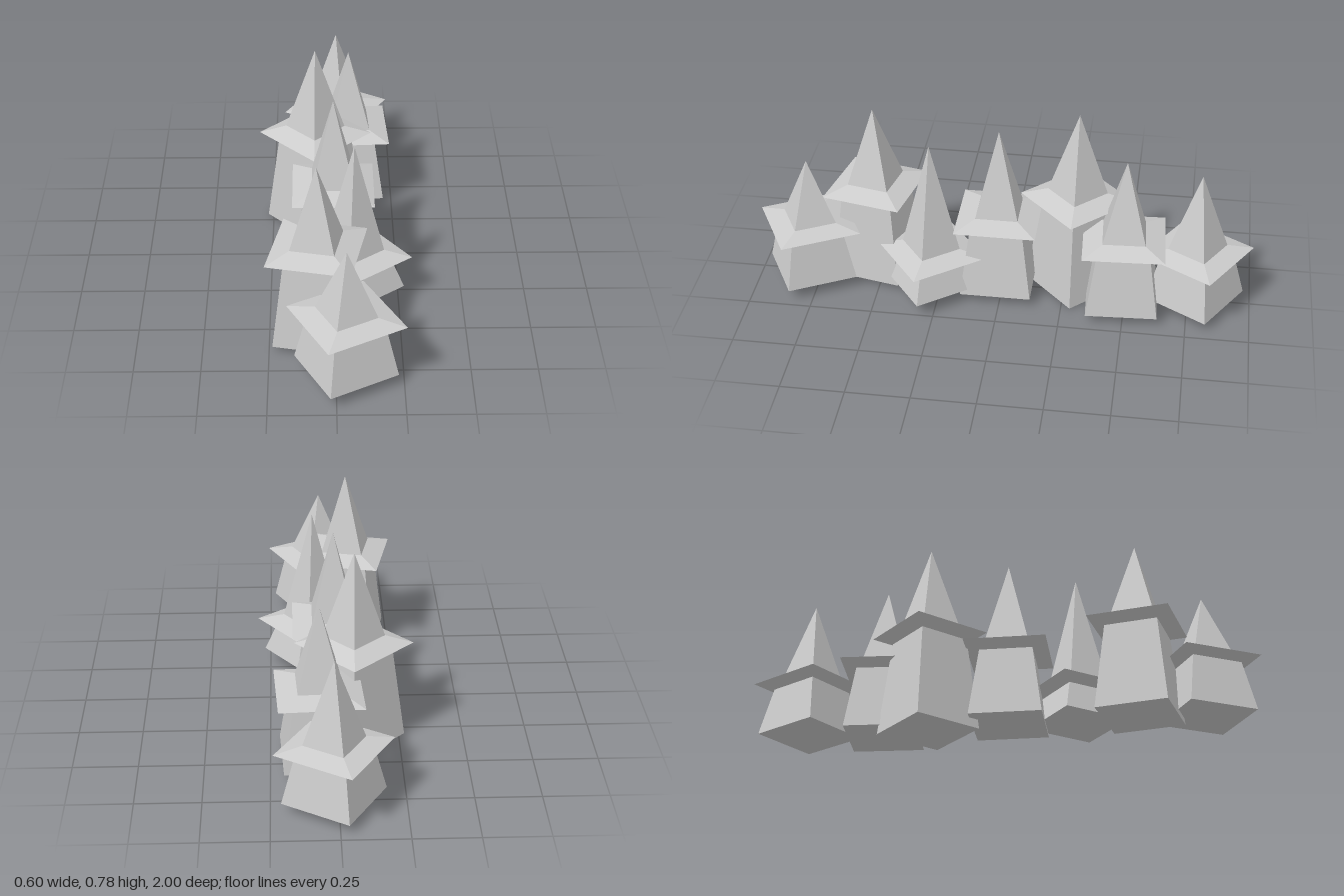
import * as THREE from 'three';

// x, z, base height, collar height, tip height, angle of one corner from +x towards +z (degrees)
const SPIRES = [
  [0.037, 0.78, 0.05, 0.272, 0.555, 17],
  [-0.07, 0.527, 0.023, 0.4, 0.748, -33],
  [0.0735, 0.28, 0.06, 0.2, 0.685, 8],
  [-0.003, 0.016, 0.037, 0.342, 0.727, 45],
  [-0.0725, -0.29, 0, 0.405, 0.783, 1.3],
  [0.065, -0.488, 0.037, 0.318, 0.67, 42],
  [0.017, -0.777, 0.04, 0.25, 0.602, -14],
];

// Corner radii shared by every spire
const BASE = 0.2, NECK = 0.148, RIM = 0.228, ROOF = 0.119;

const material = new THREE.MeshStandardMaterial({ color: 0xcccccc, flatShading: true });

// Four-sided solid of revolution from [radius, y] points, bottom to top
function foursided(name, profile) {
  const points = profile.map(([r, y]) => new THREE.Vector2(r, y));
  const mesh = new THREE.Mesh(new THREE.LatheGeometry(points, 4), material);
  mesh.name = name;
  return mesh;
}

function createSpire([x, z, base, collar, tip, degrees]) {
  const height = tip - base;
  const under = collar - 0.034 * height;
  const over = collar + 0.041 * height;

  const spire = new THREE.Group();
  spire.name = 'spire';
  spire.add(
    // tapered block with a closed underside
    foursided('body', [[0, base], [BASE, base], [NECK, under]]),
    // sharp-edged flange around the waist
    foursided('collar', [[NECK, under], [RIM, collar], [ROOF, over]]),
    // pointed top
    foursided('point', [[ROOF, over], [0, tip]]),
  );
  spire.position.set(x, 0, z);
  spire.rotation.y = -THREE.MathUtils.degToRad(degrees);
  return spire;
}

export function createModel() {
  const model = new THREE.Group();
  model.name = 'spireRow';
  for (const spec of SPIRES) model.add(createSpire(spec));
  return model;
}
